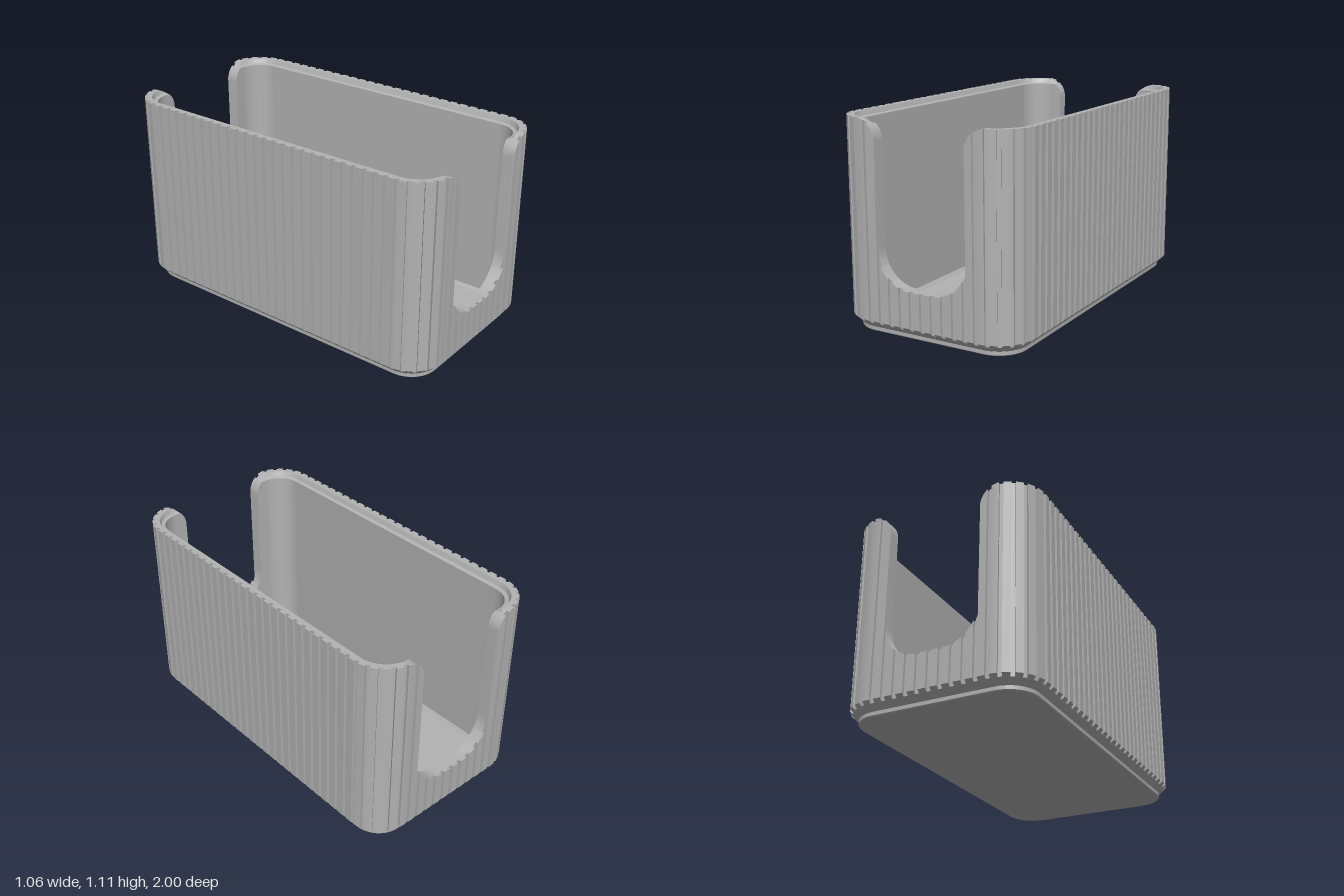
import * as THREE from 'three';
import { toCreasedNormals } from 'three/addons/utils/BufferGeometryUtils.js';

const HX = 0.53, HZ = 1.0, R = 0.2, TOP = 1.11;       // outer size, corner radius, height
const SX = HX - R, SZ = HZ - R, ARC = R * Math.PI / 2;
const Q = SX + ARC + SZ;                              // quarter of the perimeter
const PITCH = Q / 23, GROOVE = 0.0115, DEPTH = 0.015; // rib pitch, half groove, rib depth
const SLOT = 0.262, FLAT = 0.07;                      // half width of the slot and of its flat bottom

// Point of the rounded outline at distance s, moved inward by d
function outline(s, d) {
  const k = Math.min(3, Math.floor(s / Q + 1e-9));
  const t = k % 2 ? (k + 1) * Q - s : s - k * Q;
  let x, z;
  if (t < SX) { x = t; z = HZ - d; }
  else if (t < SX + ARC) {
    const a = (t - SX) / R;
    x = SX + (R - d) * Math.sin(a);
    z = SZ + (R - d) * Math.cos(a);
  } else { x = HX - d; z = Q - t; }
  return [k < 2 ? x : -x, k === 0 || k === 3 ? z : -z];
}

// Wall height: rounded slot bottom inside, rounded upper corner outside
function wallHeight(x, inSlot) {
  if (inSlot) {
    const r = SLOT - FLAT, u = Math.max(0, x - FLAT);
    return SLOT + r - Math.sqrt(Math.max(0, r * r - u * u));
  }
  const u = Math.max(0, SLOT + 0.11 - x);
  return 1.0 + Math.sqrt(Math.max(0, 0.0121 - u * u));
}

// Wall section: chamfered foot, ribbed outside, stepped rim, inner wall
function section(s, groove, inSlot) {
  const g = groove ? DEPTH : 0;
  const profile = [
    [0.045, 0.022], [0.045, 0.025], [g, 0.07 - g], [g, TOP], [0.04, TOP], [0.05, 1.085],
    [0.07, 1.08], [0.07, 0.05], [0.085, 0.03], [0.085, 0.022], [0.045, 0.022],
  ];
  return profile.map(([d, y]) => {
    const [x, z] = outline(s, d);
    return new THREE.Vector3(x, Math.min(y, wallHeight(Math.abs(x), inSlot)), z);
  });
}

// Break points along one quarter: grooves, slot curves, corner ends
function quarterBreaks() {
  const b = [0, FLAT, SLOT, SX, SX + ARC, Q];
  for (let i = 0; i <= 23; i++) b.push(i * PITCH - GROOVE, i * PITCH + GROOVE);
  for (let i = 1; i < 10; i++) {
    const a = i / 10 * Math.PI / 2;
    b.push(FLAT + (SLOT - FLAT) * Math.sin(a), SLOT + 0.11 * (1 - Math.cos(a)));
  }
  return b.filter(t => t >= 0 && t <= Q).sort((p, q) => p - q)
    .filter((t, i, all) => i === 0 || t - all[i - 1] > 1e-5);
}

function wallGeometry() {
  const quarter = quarterBreaks(), rings = [];
  for (let k = 0; k < 4; k++) {
    const list = quarter.map(t => (k % 2 ? (k + 1) * Q - t : k * Q + t));
    if (k % 2) list.reverse();
    for (let i = 0; i + 1 < list.length; i++) {
      const mid = (list[i] + list[i + 1]) / 2;
      const t = k % 2 ? (k + 1) * Q - mid : mid - k * Q;
      const groove = Math.abs(t - Math.round(t / PITCH) * PITCH) < GROOVE;
      rings.push(section(list[i], groove, t < SLOT), section(list[i + 1], groove, t < SLOT));
    }
  }
  const pos = [], e1 = new THREE.Vector3(), e2 = new THREE.Vector3();
  const tri = (a, b, c) => {
    if (e1.subVectors(b, a).cross(e2.subVectors(c, a)).length() < 1e-9) return;
    for (const p of [a, b, c]) pos.push(p.x, p.y, p.z);
  };
  rings.forEach((a, i) => {
    const b = rings[(i + 1) % rings.length];
    for (let j = 0; j + 1 < a.length; j++) {
      tri(a[j], b[j], b[j + 1]);
      tri(a[j], b[j + 1], a[j + 1]);
    }
  });
  const geo = new THREE.BufferGeometry();
  geo.setAttribute('position', new THREE.Float32BufferAttribute(pos, 3));
  return toCreasedNormals(geo, 0.4);
}

// Floor slab with a small bevel under its edge
function floorGeometry() {
  const pts = [];
  for (let k = 0; k < 4; k++) {
    for (let i = 0; i <= 12; i++) {
      const t = SX + ARC * i / 12 - (i === 12 ? 1e-6 : 0);
      const s = k % 2 ? (k + 1) * Q - (SX + ARC - 1e-6 - (t - SX)) : k * Q + t;
      pts.push(new THREE.Vector2(...outline(s, 0.051)));
    }
  }
  const geo = new THREE.ExtrudeGeometry(new THREE.Shape(pts), {
    depth: 0.018, bevelEnabled: true, bevelThickness: 0.006, bevelSize: 0.006, bevelSegments: 1,
  });
  geo.rotateX(-Math.PI / 2).translate(0, 0.006, 0);
  return toCreasedNormals(geo, 0.4);
}

export function createModel() {
  const grey = new THREE.MeshStandardMaterial({ color: 0xb2b2b2 });
  grey.name = 'grey';
  const model = new THREE.Group();
  model.name = 'ribbedTray';
  const add = (name, geo) => {
    const mesh = new THREE.Mesh(geo, grey);
    mesh.name = name;
    model.add(mesh);
  };
  add('ribbedWall', wallGeometry());
  add('floor', floorGeometry());
  return model;
}
